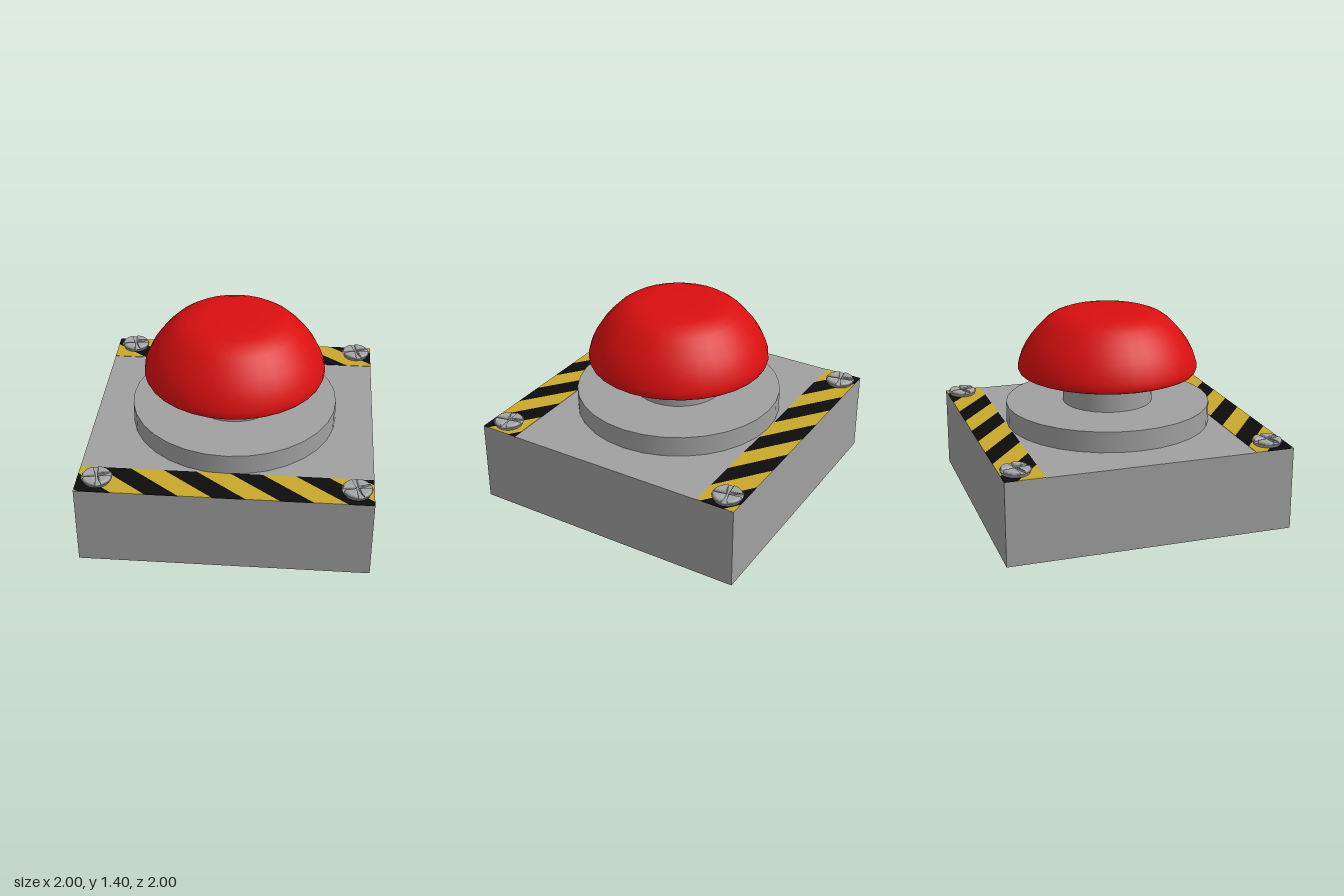
import * as THREE from 'three';

const mat = (name, color) => {
  const m = new THREE.MeshStandardMaterial({ color });
  m.name = name;
  return m;
};

export function createModel() {
  const root = new THREE.Group();
  root.name = 'pushButton';
  const grey = mat('housingGrey', 0xa0a0a0);
  const steel = mat('screwSteel', 0xa3a5a6);
  const red = mat('buttonRed', 0xd90f0f);
  const yellow = mat('warningYellow', 0xc9a82c);
  const black = mat('warningBlack', 0x0c0c0c);

  const add = (name, geometry, material, y = 0, parent = root) => {
    const mesh = new THREE.Mesh(geometry, material);
    mesh.name = name;
    mesh.position.y = y;
    parent.add(mesh);
    return mesh;
  };

  // Housing, collar and stem
  const top = 0.583;
  add('housing', new THREE.BoxGeometry(2, top, 2), grey, top / 2);
  add('collar', new THREE.CylinderGeometry(0.73, 0.73, 0.147, 32), grey, 0.6565);
  add('stem', new THREE.CylinderGeometry(0.32, 0.32, 0.25, 32), grey, 0.84);

  // Mushroom cap: smooth dome with a shallow underside
  const lathe = (pts) => new THREE.LatheGeometry(pts.map(([x, y]) => new THREE.Vector2(x, y)), 32);
  add('buttonUnderside', lathe([[0, 0.94], [0.32, 0.94], [0.5, 0.944], [0.61, 0.953]]), red);
  add('buttonCap', lathe([
    [0.61, 0.953], [0.632, 0.962], [0.64, 0.98], [0.637, 1.02], [0.615, 1.085], [0.585, 1.145],
    [0.545, 1.205], [0.495, 1.265], [0.44, 1.32], [0.385, 1.357], [0.32, 1.381],
    [0.24, 1.393], [0.15, 1.397], [0, 1.398],
  ]), red);

  // Keep the part of a polygon where side * x <= 1
  const clip = (poly, side) => {
    const out = [];
    poly.forEach((a, i) => {
      const b = poly[(i + 1) % poly.length];
      const da = 1 - side * a[0], db = 1 - side * b[0];
      if (da >= 0) out.push(a);
      if (da * db < 0) {
        const t = da / (da - db);
        out.push([a[0] + (b[0] - a[0]) * t, a[1] + (b[1] - a[1]) * t]);
      }
    });
    return out;
  };

  // Hazard strips: alternating slanted bands cut off at the housing edges
  const band = 0.225, slant = 0.353;
  const hazardStrip = (name, z0, z1, blackStart) => {
    const strip = new THREE.Group();
    strip.name = name;
    for (let i = -10; i < 12; i++) {
      const x = blackStart + i * band;
      let poly = [[x - slant, -z0], [x, -z1], [x + band, -z1], [x + band - slant, -z0]];
      poly = clip(clip(poly, 1), -1);
      if (poly.length < 3) continue;
      const shape = new THREE.Shape(poly.map(([px, py]) => new THREE.Vector2(px, py)));
      const geo = new THREE.ExtrudeGeometry(shape, { depth: 0.003, bevelEnabled: false });
      geo.rotateX(-Math.PI / 2);
      const isBlack = i % 2 === 0;
      add(isBlack ? 'blackBand' : 'yellowBand', geo, isBlack ? black : yellow, top, strip);
    }
    root.add(strip);
  };
  hazardStrip('backHazardStrip', -1, -0.73, -0.765);
  hazardStrip('frontHazardStrip', 0.726, 1, -0.973);

  // Cross-slotted screws: a base disc under four rounded quarter pads
  const pad = new THREE.Shape();
  pad.moveTo(0.02, 0.02);
  pad.lineTo(0.083, 0.02);
  pad.absarc(0, 0, 0.085, 0.237, Math.PI / 2 - 0.237, false);
  pad.lineTo(0.02, 0.02);
  const padGeo = new THREE.ExtrudeGeometry(pad, {
    depth: 0.008, bevelThickness: 0.016, bevelSize: 0.014, bevelSegments: 3, curveSegments: 8,
  });
  padGeo.rotateX(-Math.PI / 2);
  const baseGeo = new THREE.CylinderGeometry(0.105, 0.09, 0.028, 24);
  const screw = (name, x, z) => {
    const g = new THREE.Group();
    g.name = name;
    add('screwBase', baseGeo, steel, 0.014, g);
    for (let k = 0; k < 4; k++) add('screwPad', padGeo, steel, 0.022, g).rotation.y = k * Math.PI / 2;
    g.position.set(x, top, z);
    g.rotation.y = 0.16;
    root.add(g);
  };
  for (const [end, z] of [['back', -0.893], ['front', 0.865]]) {
    screw(end + 'RightScrew', -0.862, z);
    screw(end + 'LeftScrew', 0.884, z);
  }
  return root;
}
